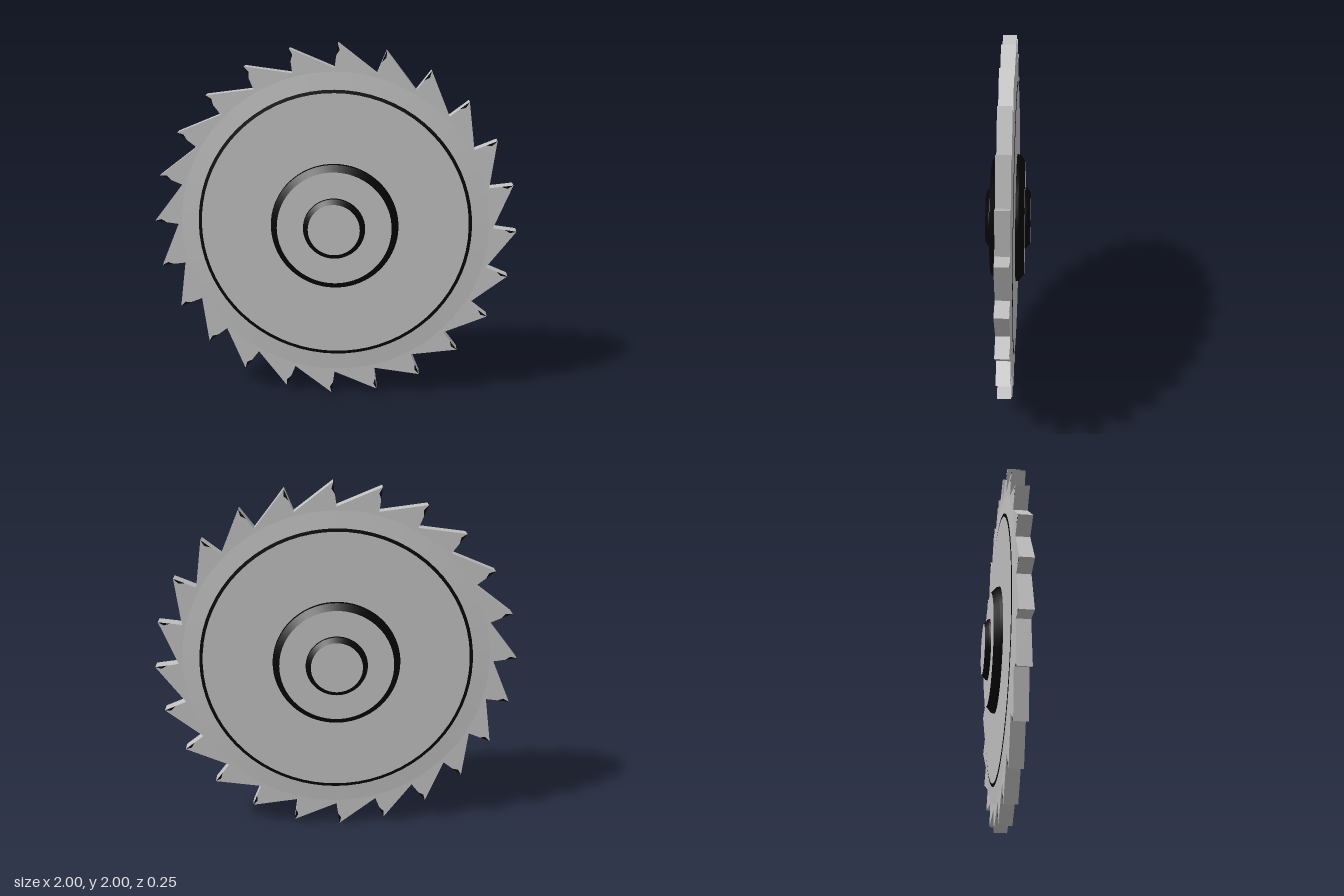
import * as THREE from 'three';

const steel = new THREE.MeshStandardMaterial({ name: 'steel grey', color: 0xc0c0c0 });
const black = new THREE.MeshStandardMaterial({ name: 'black', color: 0x050505 });

const TEETH = 24, HALF = 0.037;
const polar = (r, deg) => new THREE.Vector2(r * Math.cos(deg * Math.PI / 180), r * Math.sin(deg * Math.PI / 180));

// One band of a turned face: from (outer radius, depth) to (inner radius, depth)
function band(name, material, r1, z1, r2, z2) {
  const geo = new THREE.LatheGeometry([new THREE.Vector2(r1, z1), new THREE.Vector2(r2, z2)], 72);
  geo.rotateX(Math.PI / 2);
  const mesh = new THREE.Mesh(geo, material);
  mesh.name = name;
  return mesh;
}

export function createModel() {
  const model = new THREE.Group();
  model.name = 'circularSawBlade';
  const blade = new THREE.Group();
  blade.name = 'blade';
  blade.position.y = 1;
  model.add(blade);

  // Toothed disc: hooked tips, each followed by a valley just behind the tip
  const outline = [];
  const tips = [];
  for (let i = 0; i < TEETH; i++) {
    const a = i * 360 / TEETH - 1;
    const tip = polar(1, a), valley = polar(0.87, a + 1), back = polar(0.87, a + 16);
    outline.push(valley.clone(), tip);
    // Dark sliver along the cutting edge; valley of the next tooth starts the long edge
    tips.push(new THREE.Shape([tip, tip.clone().lerp(back, 0.16), tip.clone().lerp(valley, 0.5)]));
  }
  // Order each tooth as tip then valley, running counter-clockwise
  const ordered = [];
  for (let i = 0; i < outline.length; i += 2) ordered.push(outline[i + 1], outline[i]);
  const discGeo = new THREE.ExtrudeGeometry(new THREE.Shape(ordered), { depth: 2 * HALF, bevelEnabled: false });
  discGeo.translate(0, 0, -HALF);
  const disc = new THREE.Mesh(discGeo, steel);
  disc.name = 'toothedDisc';
  blade.add(disc);

  // Both faces are alike: raised plate, dark ring line and two stepped hubs
  for (const side of [0, 1]) {
    const face = new THREE.Group();
    face.name = side ? 'backFace' : 'frontFace';
    face.rotation.y = side * Math.PI;
    face.add(
      band('plateBevel', steel, 0.85, HALF, 0.755, 0.044),
      band('ringLine', black, 0.755, 0.044, 0.737, 0.046),
      band('plateFace', steel, 0.737, 0.046, 0.34, 0.046),
      band('hubWall', black, 0.353, 0.045, 0.35, 0.062),
      band('hubBevel', black, 0.35, 0.062, 0.315, 0.092),
      band('hubFace', steel, 0.315, 0.092, 0.16, 0.092),
      band('capWall', black, 0.171, 0.091, 0.168, 0.102),
      band('capBevel', black, 0.168, 0.102, 0.142, 0.123),
      band('capFace', steel, 0.142, 0.123, 0, 0.123)
    );
    blade.add(face);
  }

  // Dark cutting edges, thin plates on both sides of the teeth
  const edges = new THREE.Group();
  edges.name = 'cuttingEdges';
  for (const shape of tips) {
    // Keep only a narrow strip beside the steep edge
    const [tip, , low] = shape.getPoints();
    const inner = tip.clone().lerp(low, 0.55).add(polar(0.014, Math.atan2(tip.y, tip.x) * 180 / Math.PI - 90));
    const geo = new THREE.ExtrudeGeometry(new THREE.Shape([tip, low, inner]), { depth: 2 * HALF + 0.002, bevelEnabled: false });
    geo.translate(0, 0, -HALF - 0.001);
    geo.clearGroups();
    // Front and back triangles only
    const pos = geo.attributes.position, nor = geo.attributes.normal, keep = [];
    for (let i = 0; i < pos.count; i += 3) {
      if (Math.abs(nor.getZ(i)) > 0.9) {
        for (let k = i; k < i + 3; k++) keep.push(pos.getX(k), pos.getY(k), pos.getZ(k));
      }
    }
    const flat = new THREE.BufferGeometry();
    flat.setAttribute('position', new THREE.Float32BufferAttribute(keep, 3));
    flat.computeVertexNormals();
    const mesh = new THREE.Mesh(flat, black);
    mesh.name = 'cuttingEdge';
    edges.add(mesh);
  }
  blade.add(edges);
  return model;
}
